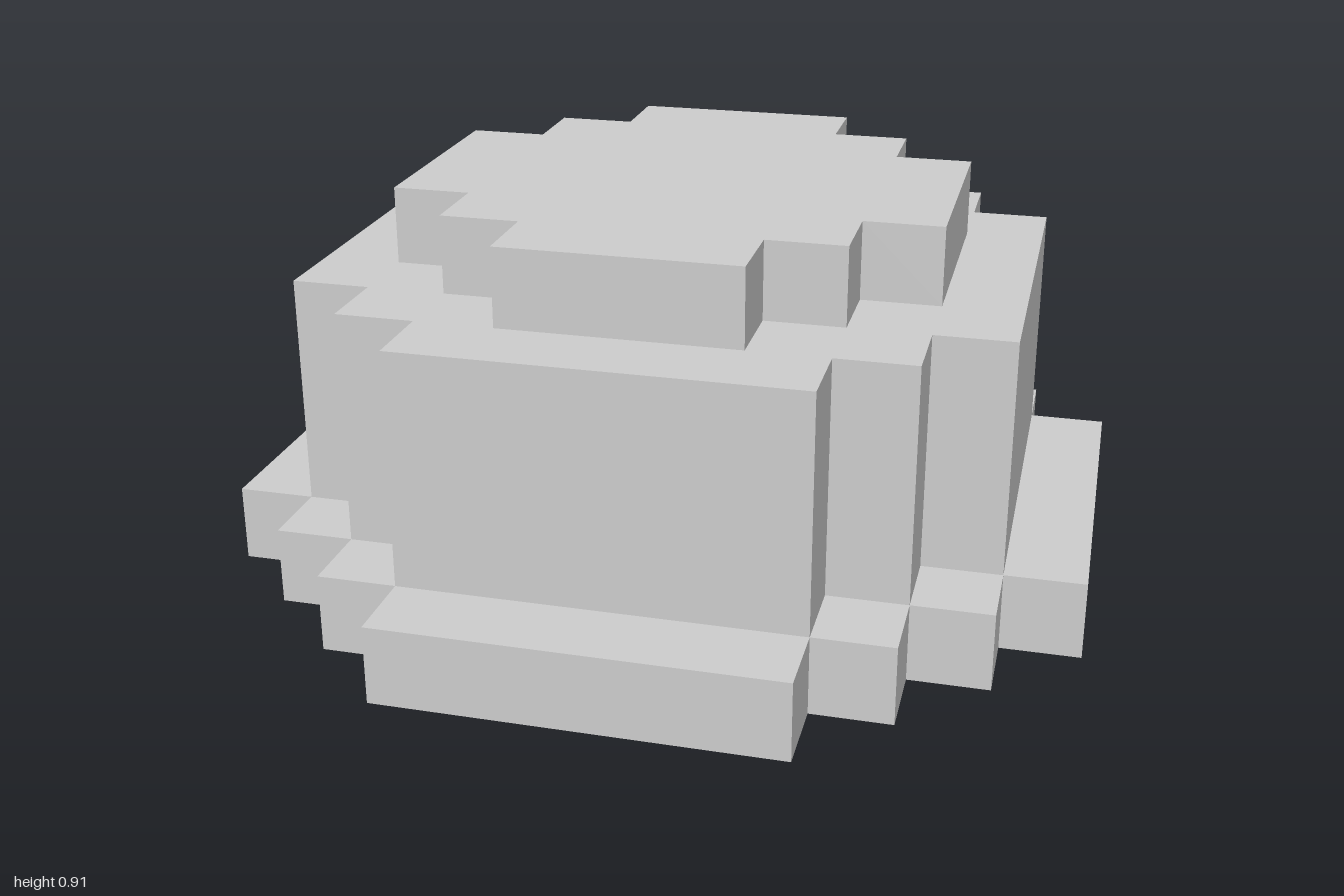
import * as THREE from 'three';

const U = 1 / 11; // half a block
const material = new THREE.MeshStandardMaterial({ color: 0xcccccc, flatShading: true });

// Stepped round outline: reach r along each axis, flat edges of half-width w
function steppedShape(r, w) {
  const quadrant = [[r, w]];
  for (let x = r, y = w; x > w;) {
    x -= 2;
    quadrant.push([x, y]);
    y += 2;
    quadrant.push([x, y]);
  }
  const points = [];
  for (let q = 0, c = 1, s = 0; q < 4; q++, [c, s] = [-s, c]) {
    for (const [x, y] of quadrant) {
      points.push(new THREE.Vector2((c * x - s * y) * U, (s * x + c * y) * U));
    }
  }
  return new THREE.Shape(points);
}

// One tier standing between heights y0 and y1
function tier(name, r, w, y0, y1) {
  const geometry = new THREE.ExtrudeGeometry(steppedShape(r, w), {
    depth: (y1 - y0) * U,
    bevelEnabled: false,
  });
  geometry.rotateX(-Math.PI / 2);
  geometry.translate(0, y0 * U, 0);
  const mesh = new THREE.Mesh(geometry, material);
  mesh.name = name;
  return mesh;
}

export function createModel() {
  const model = new THREE.Group();
  model.name = 'steppedDome';
  model.add(
    tier('baseRim', 11, 5, 0, 2),
    tier('body', 9, 5, 2, 8),
    tier('topCap', 7, 3, 8, 10),
  );
  return model;
}
